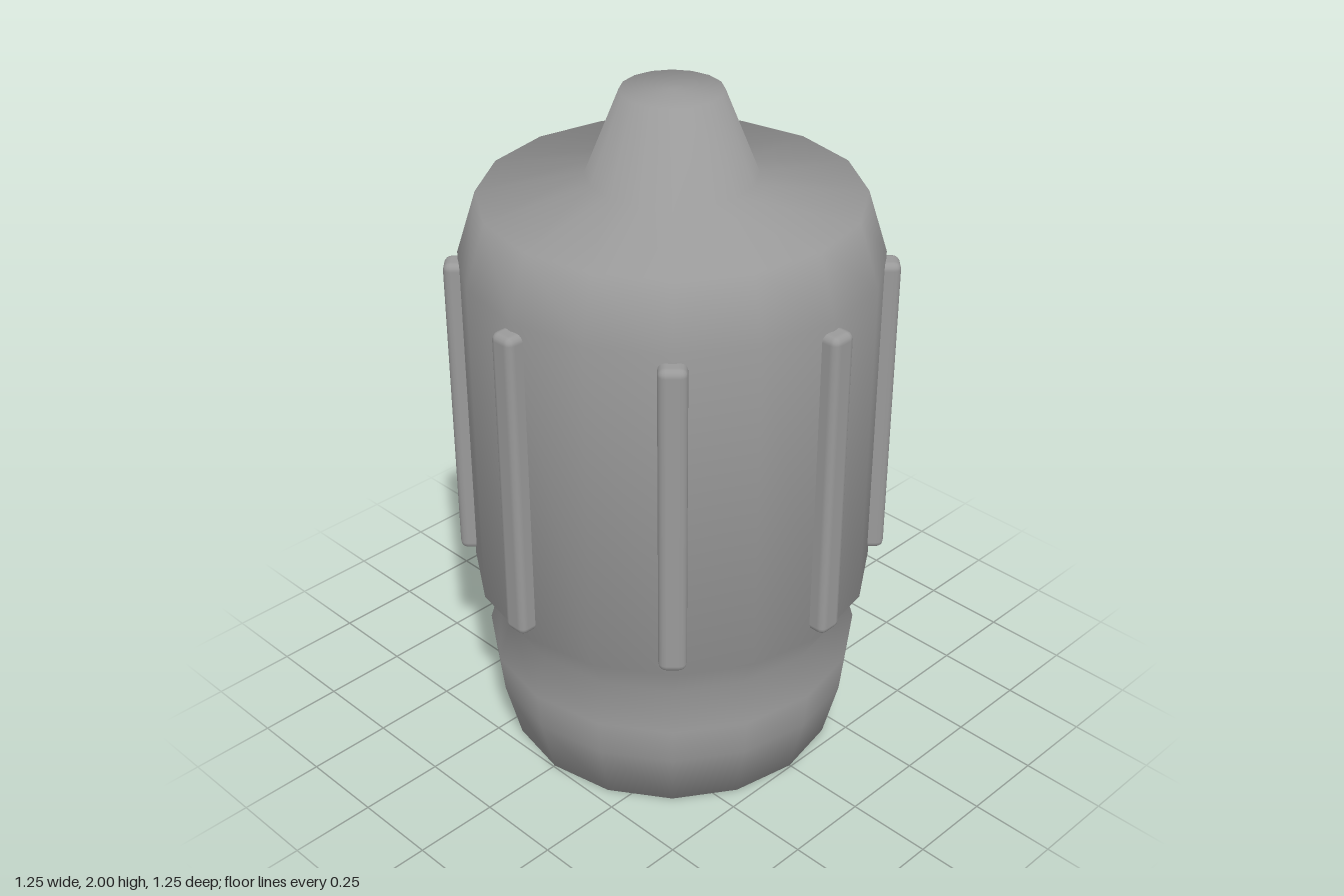
import * as THREE from 'three';
import { RoundedBoxGeometry } from 'three/addons/geometries/RoundedBoxGeometry.js';

const SIDES = 16;

// Turned solid whose ring normals weigh the bands above and below equally
function smoothLathe(profile) {
  const geometry = new THREE.LatheGeometry(profile, SIDES);
  const bands = profile.slice(1).map((p, i) => {
    const d = p.clone().sub(profile[i]).normalize();
    return new THREE.Vector2(d.y, -d.x);
  });
  const normals = geometry.attributes.normal;
  profile.forEach((p, j) => {
    const below = bands[Math.max(j - 1, 0)];
    const above = bands[Math.min(j, bands.length - 1)];
    const n = below.clone().add(above).normalize();
    for (let i = 0; i <= SIDES; i++) {
      const angle = (i / SIDES) * Math.PI * 2;
      normals.setXYZ(i * profile.length + j, n.x * Math.sin(angle), n.y, n.x * Math.cos(angle));
    }
  });
  return geometry;
}

export function createModel() {
  const model = new THREE.Group();
  model.name = 'ribbedCapsule';
  const material = new THREE.MeshStandardMaterial({ color: 0x999999 });

  // Closed turned body: bulged base, waist, straight barrel, shoulder, tapered neck
  const profile = [
    [0, 0], [0.495, 0], [0.54, 0.18], [0.552, 0.295], [0.515, 0.415],
    [0.587, 0.53], [0.587, 1.53], [0.53, 1.71],
    [0.235, 1.765], [0.14, 2], [0, 2],
  ].map(([r, y]) => new THREE.Vector2(r, y));
  const body = new THREE.Mesh(smoothLathe(profile), material);
  body.name = 'body';
  model.add(body);

  // Eight upright grip ribs around the barrel
  const ribs = new THREE.Group();
  ribs.name = 'gripRibs';
  const ribGeometry = new RoundedBoxGeometry(0.078, 0.94, 0.078, 2, 0.022);
  for (let i = 0; i < 8; i++) {
    const angle = (i * Math.PI) / 4;
    const rib = new THREE.Mesh(ribGeometry, material);
    rib.name = `gripRib${i + 1}`;
    rib.position.set(Math.sin(angle) * 0.588, 1.037, Math.cos(angle) * 0.588);
    rib.rotation.y = angle;
    ribs.add(rib);
  }
  model.add(ribs);

  return model;
}
